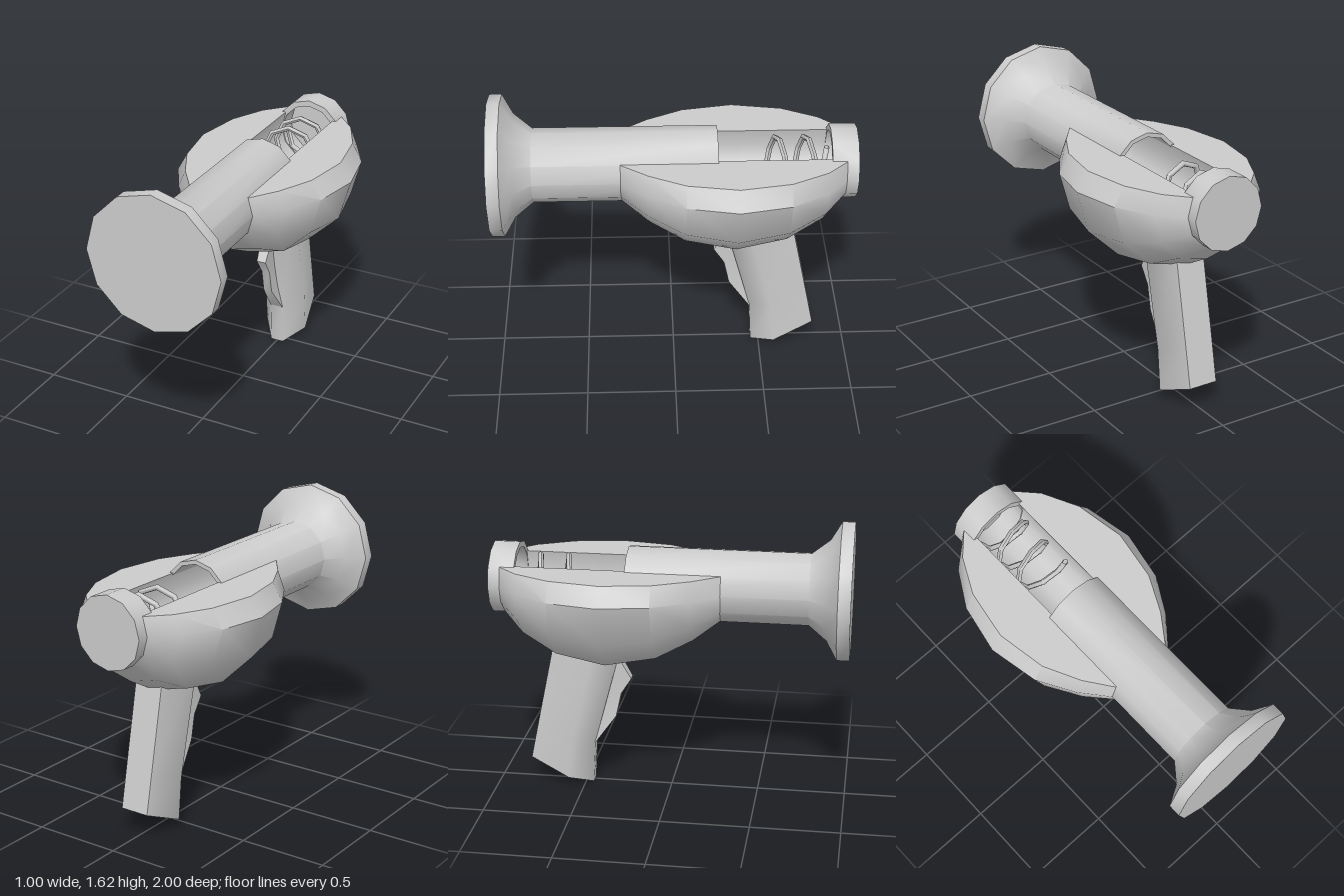
import * as THREE from 'three';
import { toCreasedNormals } from 'three/addons/utils/BufferGeometryUtils.js';

const AXIS_Y = 1.23; // height of the barrel axis
const CUT_Y = 1.335; // flat top of the housing
const SIDES = 12;
const material = new THREE.MeshStandardMaterial({ color: 0xcccccc, side: THREE.DoubleSide });

function addMesh(group, name, geometry, crease = 0.75) {
  const mesh = new THREE.Mesh(toCreasedNormals(geometry, crease), material);
  mesh.name = name;
  group.add(mesh);
  return mesh;
}

// Turned part around the barrel axis from [radius, z] pairs
function turned(profile) {
  const points = profile.map(([r, z]) => new THREE.Vector2(r, z));
  return new THREE.LatheGeometry(points, SIDES).rotateX(Math.PI / 2).translate(0, AXIS_Y, 0);
}

// Skin closed cross-sections of equal length, counter-clockwise about the direction of travel
function loft(rings, capped) {
  const n = rings[0].length;
  const last = (rings.length - 1) * n;
  const index = [];
  for (let r = 0; r < rings.length - 1; r++) {
    for (let i = 0; i < n; i++) {
      const a = r * n + i;
      const b = r * n + (i + 1) % n;
      index.push(a, b, b + n, a, b + n, a + n);
    }
  }
  if (capped) {
    for (let i = 1; i < n - 1; i++) {
      index.push(0, i + 1, i, last, last + i, last + i + 1);
    }
  }
  const geometry = new THREE.BufferGeometry();
  geometry.setAttribute('position', new THREE.Float32BufferAttribute(rings.flat(2), 3));
  geometry.setIndex(index);
  return geometry;
}

// Bulging housing with a flat top and a round trough
function housingGeometry() {
  const stations = [
    [-0.935, 0.205], [-0.82, 0.33], [-0.62, 0.445], [-0.34, 0.5],
    [-0.06, 0.445], [0.14, 0.33], [0.29, 0.205],
  ];
  const inner = 0.175;
  const rings = stations.map(([z, r]) => {
    const outside = [];
    const trough = [];
    for (let i = 0; i <= 8; i++) {
      const angle = Math.PI * (5 + i) / 6;
      const c = Math.cos(angle);
      const s = Math.sin(angle);
      const rim = i === 0 || i === 8;
      outside.push([r * c, rim ? CUT_Y : AXIS_Y + 0.955 * r * s, z]);
      trough.unshift([inner * c, rim ? CUT_Y : AXIS_Y + inner * s, z]);
    }
    return [...outside, ...trough];
  });
  return loft(rings, false);
}

// Six-sided raked grip, each level given by its front and back [z, y]
function gripGeometry() {
  const levels = [
    [[-0.455, 0.005], [-0.81, 0.16]],
    [[-0.442, 0.26], [-0.764, 0.385]],
    [[-0.272, 0.9], [-0.63, 1.03]],
  ];
  const outline = [[-0.038, 0], [0.038, 0], [0.13, 0.36], [0.085, 1], [-0.085, 1], [-0.13, 0.36]];
  const rings = levels.map(([front, back]) => outline.map(([x, t]) => [
    x,
    THREE.MathUtils.lerp(front[1], back[1], t),
    THREE.MathUtils.lerp(front[0], back[0], t),
  ]));
  return loft(rings, true);
}

// Trigger sections: y, front z, back z, half width
function triggerGeometry() {
  const sections = [
    [0.255, -0.44, -0.48, 0.04],
    [0.42, -0.32, -0.43, 0.026],
    [0.56, -0.29, -0.39, 0.025],
    [0.655, -0.23, -0.37, 0.028],
    [0.79, -0.305, -0.34, 0.035],
  ];
  return loft(sections.map(([y, front, back, w]) => [
    [-w, y, front], [w, y, front], [w, y, back], [-w, y, back],
  ]), true);
}

// Coil spring lying along the trough
class Coil extends THREE.Curve {
  getPoint(t, target = new THREE.Vector3()) {
    const angle = Math.PI * (-3 + 5 * t);
    return target.set(
      0.137 * Math.cos(angle),
      AXIS_Y + 0.137 * Math.sin(angle),
      -0.62 + 0.16 * angle / (2 * Math.PI),
    );
  }
}

export function createModel() {
  const group = new THREE.Group();
  group.name = 'toyBlaster';

  // Hollow barrel flaring into the closed front disc
  addMesh(group, 'barrel', turned([
    [0.18, 0.29], [0.18, -0.24], [0.204, -0.24], [0.204, 0.77],
    [0.285, 0.87], [0.39, 0.93], [0.39, 1], [0, 1],
  ]));

  // Rear cap, recessed on its inner side
  addMesh(group, 'rearCap', turned([
    [0, -1], [0.204, -1], [0.204, -0.855], [0.17, -0.855], [0.17, -0.97], [0, -0.97],
  ].reverse()).scale(1, 1, 1));

  addMesh(group, 'housing', housingGeometry());
  addMesh(group, 'grip', gripGeometry(), 1.05);
  addMesh(group, 'trigger', triggerGeometry(), 0.6);
  addMesh(group, 'spring', new THREE.TubeGeometry(new Coil(), 20, 0.016, 5), 1.3);

  return group;
}
